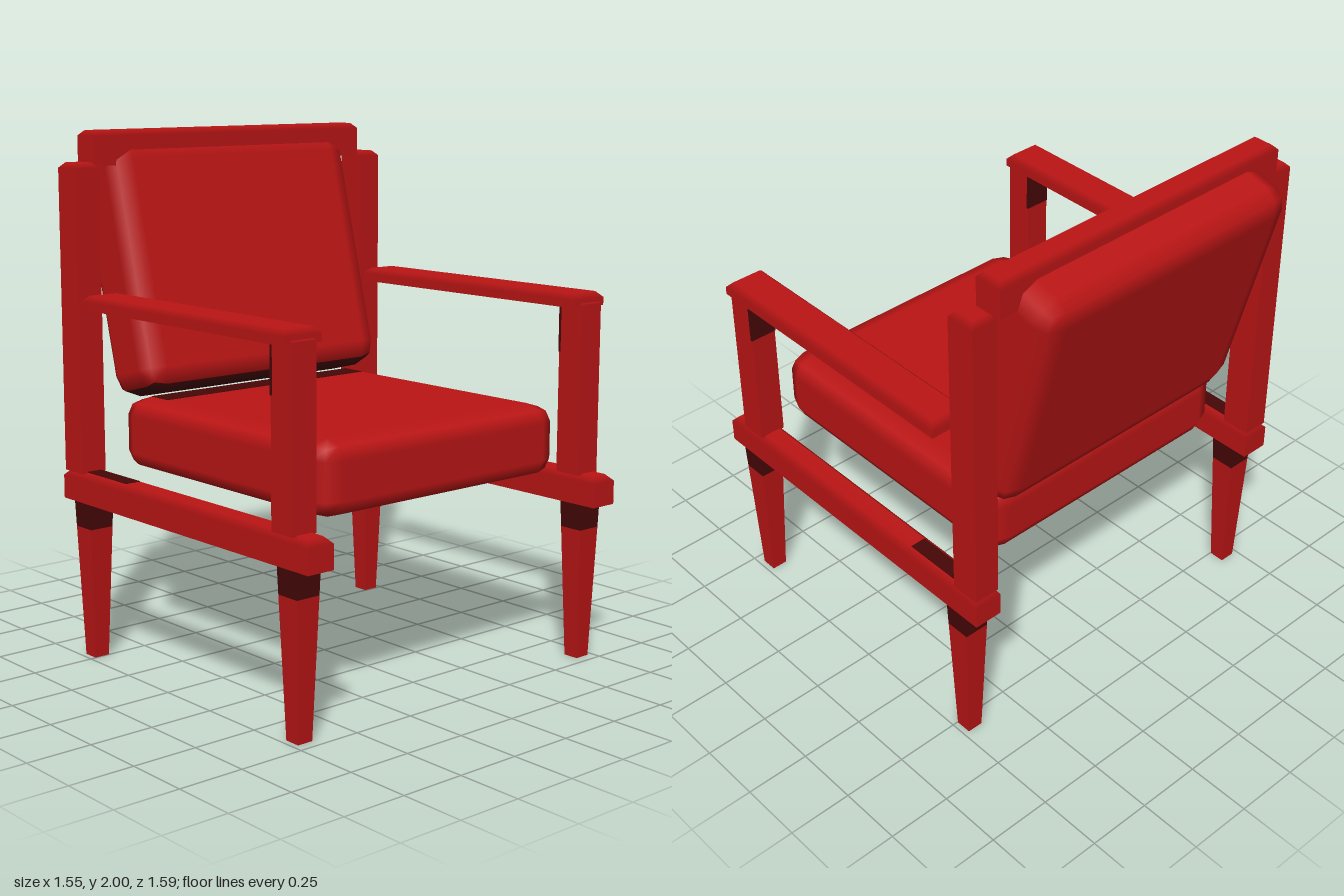
import * as THREE from 'three';
import { RoundedBoxGeometry } from 'three/addons/geometries/RoundedBoxGeometry.js';

function material(name, color) {
  const m = new THREE.MeshStandardMaterial({ color });
  m.name = name;
  return m;
}
const red = material('red', 0xbb1515);
const maroon = material('dark maroon', 0x460707);

function part(name, geometry, mat, x, y, z) {
  const mesh = new THREE.Mesh(geometry, mat);
  mesh.name = name;
  mesh.position.set(x, y, z);
  return mesh;
}

// Bar spanning [x0,x1] x [y0,y1] x [z0,z1], upper edges softly chamfered by c
function bar(name, [x0, x1], [y0, y1], [z0, z1], c) {
  const w = x1 - x0, h = y1 - y0, d = z1 - z0;
  const geometry = new THREE.BoxGeometry(w, h, d, 1, 2, 1);
  const { position: p, normal: n } = geometry.attributes;
  for (let i = 0; i < p.count; i++) {
    const y = p.getY(i);
    if (y > h / 4) {
      p.setX(i, p.getX(i) * (1 - 2 * c / w));
      p.setZ(i, p.getZ(i) * (1 - 2 * c / d));
      n.setXYZ(i, 0, 1, 0); // blends the chamfer into the top
    } else if (y > -h / 4) p.setY(i, h / 2 - c);
  }
  return part(name, geometry, red, (x0 + x1) / 2, (y0 + y1) / 2, (z0 + z1) / 2);
}

// Thin plate of dark finish
function plate(name, [x0, x1], [y0, y1], [z0, z1]) {
  const geometry = new THREE.BoxGeometry(x1 - x0, y1 - y0, z1 - z0);
  return part(name, geometry, maroon, (x0 + x1) / 2, (y0 + y1) / 2, (z0 + z1) / 2);
}

// Square leg tapering towards the floor, with a dark collar under the rail
function leg(name, x, z) {
  const height = 0.61, collar = 0.51;
  const width = (y) => 0.062 + 0.042 * y / height;
  const section = (label, y0, y1, mat) => {
    const box = new THREE.BoxGeometry(1, y1 - y0, 1);
    const p = box.attributes.position;
    for (let i = 0; i < p.count; i++) {
      const w = width(p.getY(i) < 0 ? y0 : y1);
      p.setX(i, p.getX(i) * w);
      p.setZ(i, p.getZ(i) * w);
    }
    const geometry = box.toNonIndexed();
    geometry.computeVertexNormals();
    return part(label, geometry, mat, x, (y0 + y1) / 2, z);
  };
  const group = new THREE.Group();
  group.name = name;
  group.add(section('legShaft', 0, collar, red), section('legCollar', collar, height, maroon));
  return group;
}

// Softly rounded cushion lying flat, its rounding squashed in thickness
function cushion(name, width, thickness, depth, mat, y, z) {
  const squash = 0.75;
  const geometry = new RoundedBoxGeometry(width, thickness / squash, depth, 1, 0.09);
  geometry.scale(1, squash, 1);
  return part(name, geometry, mat, 0, y, z);
}

export function createModel() {
  const chair = new THREE.Group();
  chair.name = 'armchair';

  // Side frames
  for (const [side, s] of [['left', 1], ['right', -1]]) {
    const frame = new THREE.Group();
    frame.name = side + 'Frame';
    const span = (a, b) => (s > 0 ? [a, b] : [-b, -a]);
    frame.add(
      bar('sideRail', span(0.643, 0.755), [0.61, 0.725], [-0.647, 0.793], 0.025),
      bar('backPost', span(0.647, 0.75), [0.72, 1.885], [-0.641, -0.525], 0.02),
      bar('frontPost', span(0.647, 0.75), [0.72, 1.37], [0.6, 0.71], 0.005),
      bar('armrest', span(0.615, 0.777), [1.355, 1.407], [-0.465, 0.698], 0.022),
      leg('frontLeg', s * 0.697, 0.678),
      leg('backLeg', s * 0.697, -0.533),
      // Dark finish where the members meet
      plate('railPatch', span(0.668, 0.73), [0.721, 0.727], [-0.525, -0.27]),
      plate('postPatch', span(0.645, 0.752), [1.18, 1.355], [0.598, 0.607]),
    );
    chair.add(frame);
  }

  // Crosspiece over the backrest
  chair.add(bar('topRail', [-0.65, 0.65], [1.87, 2], [-0.66, -0.547], 0.02));

  // Seat, and the leaning back cushion with a dark lower face
  const seat = cushion('seatCushion', 1.16, 0.275, 1.2, red, 0.8625, 0.073);
  const backFaces = [red, red, red, red, maroon, red];
  const back = cushion('backCushion', 1.16, 0.275, 0.97, backFaces, 1.478, -0.562);
  back.rotation.x = Math.PI / 2 - 0.253;
  chair.add(seat, back);
  chair.add(plate('seatPatch', [-0.49, 0.49], [0.997, 1.002], [-0.435, -0.335]));

  return chair;
}
